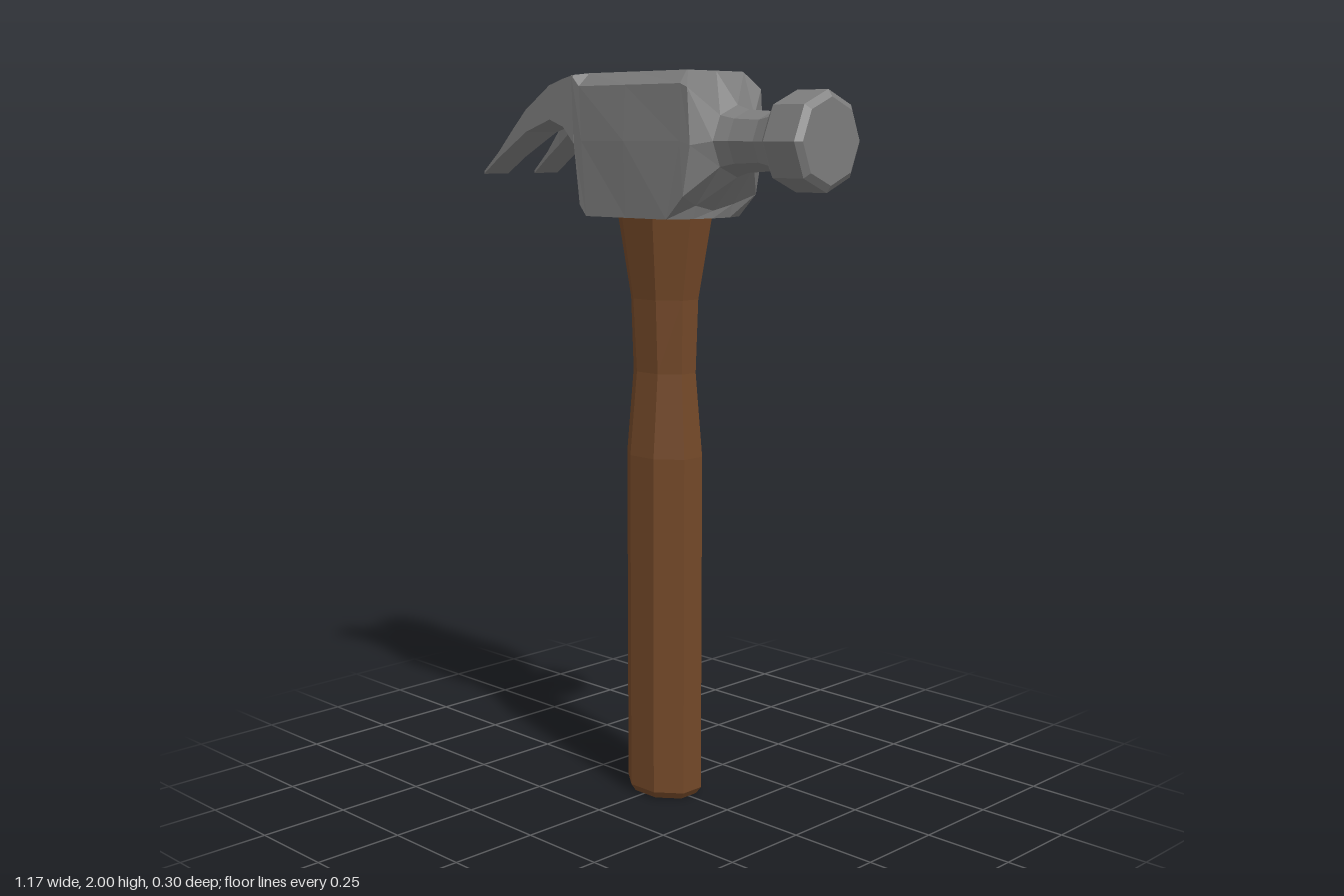
import * as THREE from 'three';

// Skin a list of rings (each counter-clockwise seen from the advance direction) and cap the ends.
function loft(rings, capStart = true, capEnd = true) {
  const pos = [];
  const tri = (a, b, c) => pos.push(...a, ...b, ...c);
  const n = rings[0].length;
  for (let i = 0; i < rings.length - 1; i++) {
    for (let j = 0; j < n; j++) {
      const k = (j + 1) % n;
      const a = rings[i][j], b = rings[i][k], c = rings[i + 1][k], d = rings[i + 1][j];
      tri(a, b, c);
      tri(a, c, d);
    }
  }
  const cap = (ring, flip) => {
    const mid = [0, 1, 2].map((q) => ring.reduce((s, p) => s + p[q], 0) / n);
    ring.forEach((p, j) => {
      const next = ring[(j + 1) % n];
      if (flip) tri(mid, next, p);
      else tri(mid, p, next);
    });
  };
  if (capStart) cap(rings[0], true);
  if (capEnd) cap(rings[rings.length - 1], false);
  const geo = new THREE.BufferGeometry();
  geo.setAttribute('position', new THREE.Float32BufferAttribute(pos, 3));
  geo.computeVertexNormals();
  return geo;
}

// Complete a half ring (top to bottom on the +z side) by mirroring it across z = 0.
const mirrorRing = (half) => [
  ...half,
  ...half.slice(1, -1).reverse().map(([x, y, z]) => [x, y, -z]),
];

export function createModel() {
  const steel = new THREE.MeshStandardMaterial({ color: 0x7c7c7c });
  const wood = new THREE.MeshStandardMaterial({ color: 0x734828 });
  steel.flatShading = wood.flatShading = true;

  const model = new THREE.Group();
  const head = new THREE.Group();
  head.name = 'head';
  model.add(head);
  const add = (parent, name, geo, mat) => {
    const mesh = new THREE.Mesh(geo, mat);
    mesh.name = name;
    parent.add(mesh);
  };

  // Handle: eight-sided sections [y, half width, half flat in x, half depth, half flat in z]
  const handleRings = [
    [0, 0.097, 0.04, 0.075, 0.03],
    [0.02, 0.111, 0.045, 0.087, 0.035],
    [0.97, 0.111, 0.045, 0.087, 0.035],
    [1.2, 0.093, 0.04, 0.066, 0.027],
    [1.4, 0.099, 0.043, 0.076, 0.03],
    [1.66, 0.145, 0.06, 0.108, 0.043],
  ].map(([y, w, fx, d, fz]) =>
    [[w, fz], [w, -fz], [fx, -d], [-fx, -d], [-w, -fz], [-w, fz], [-fx, d], [fx, d]]
      .map(([x, z]) => [x + 0.005, y, z]));
  add(model, 'handle', loft(handleRings), wood);

  // Head block: bevelled on top, slightly swollen sides, clipped bottom corners
  const block = [
    [[-0.21, 1.995, 0], [-0.21, 1.995, 0.14], [-0.21, 1.995, 0.14], [-0.203, 1.82, 0.14],
      [-0.18, 1.65, 0.14], [-0.18, 1.62, 0.1], [-0.18, 1.62, 0]],
    [[-0.175, 2, 0], [-0.175, 2, 0.105], [-0.18, 1.965, 0.14], [-0.17, 1.82, 0.142],
      [-0.155, 1.62, 0.14], [-0.155, 1.62, 0.1], [-0.155, 1.62, 0]],
    [[0, 2, 0], [0, 2, 0.105], [0, 1.965, 0.142], [0, 1.82, 0.149],
      [0, 1.62, 0.14], [0, 1.62, 0.1], [0, 1.62, 0]],
    [[0.19, 2, 0], [0.19, 2, 0.105], [0.2, 1.965, 0.14], [0.2, 1.82, 0.142],
      [0.15, 1.62, 0.14], [0.18, 1.62, 0.07], [0.185, 1.62, 0]],
    [[0.195, 1.998, 0], [0.195, 1.998, 0.105], [0.225, 1.955, 0.14], [0.235, 1.81, 0.14],
      [0.21, 1.68, 0.14], [0.19, 1.655, 0.07], [0.186, 1.64, 0]],
  ].map(mirrorRing);
  add(head, 'headBlock', loft(block, true, false), steel);

  // Neck and striking face: octagons [x, radius]; doubled corners match the block's rings
  const corner = [0, 1, 1, 2, 3, 3, 4];
  const octagons = [
    [0.27, 0.092], [0.31, 0.08], [0.39, 0.075], [0.43, 0.085],
    [0.47, 0.126], [0.57, 0.126], [0.583, 0.108],
  ].map(([x, r]) => mirrorRing(corner.map((c) => {
    const a = (c * Math.PI) / 4;
    return [x, 1.82 + r * Math.cos(a), r * Math.sin(a)];
  })));
  add(head, 'neckAndFace', loft([block[block.length - 1], ...octagons], false, true), steel);

  // Claw: two curved prongs, sections [x, top, bottom, slot half width]
  const claw = [
    [-0.585, 1.734, 1.727, 0.05],
    [-0.52, 1.788, 1.772, 0.044],
    [-0.46, 1.848, 1.808, 0.036],
    [-0.4, 1.905, 1.845, 0.025],
    [-0.3, 1.97, 1.878, 0],
    [-0.245, 1.986, 1.858, 0],
    [-0.205, 1.995, 1.815, 0],
  ];
  const prong = (zLeft, zRight) =>
    loft(claw.map(([x, top, bottom, s]) => {
      const l = zLeft(s), r = zRight(s);
      return [[x, top, l], [x, bottom, l], [x, bottom, r], [x, top, r]];
    }));
  add(head, 'frontProng', prong(() => 0.14, (s) => s), steel);
  add(head, 'backProng', prong((s) => -s, () => -0.14), steel);

  return model;
}
